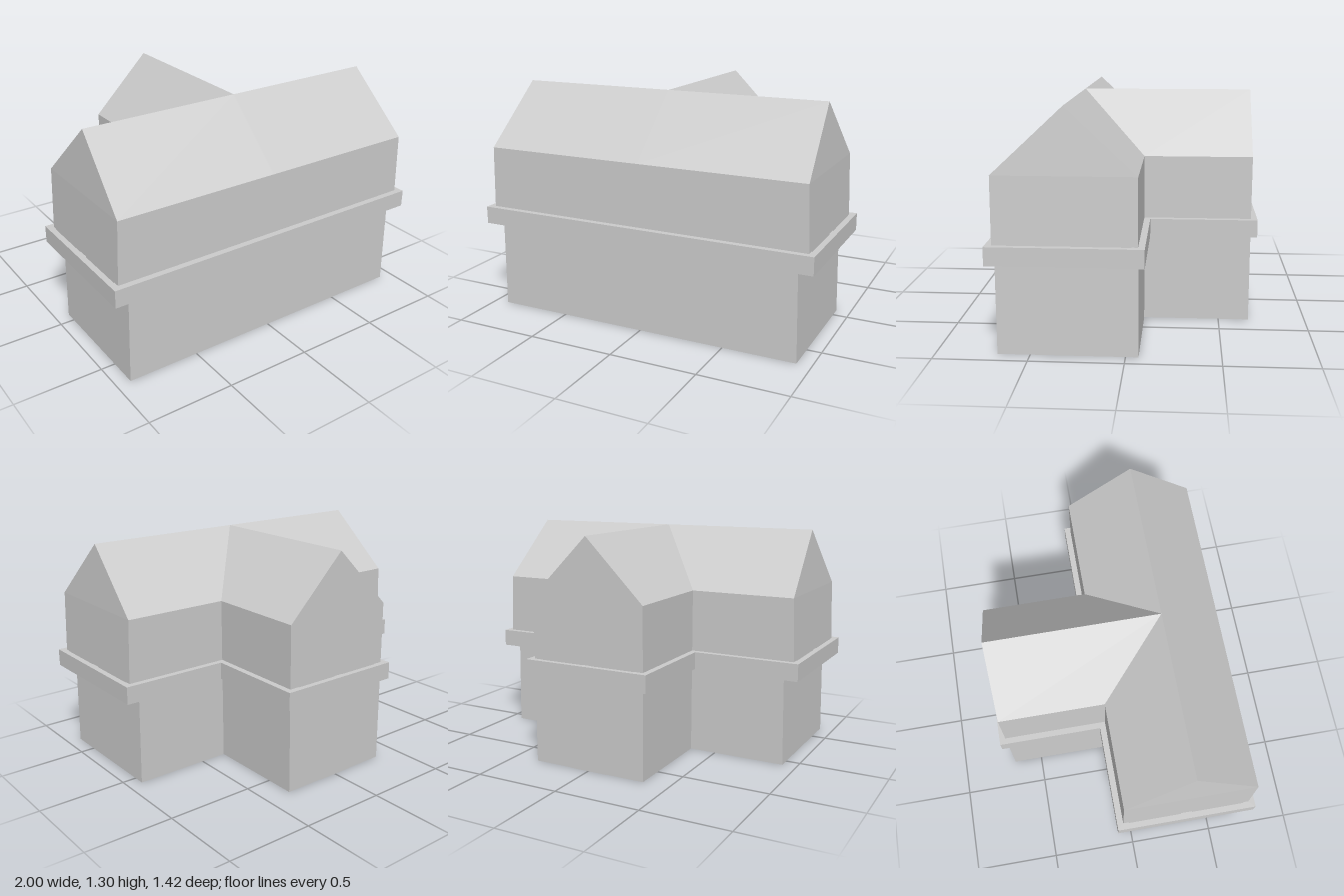
import * as THREE from 'three';

const FRONT = 0.673, BACK = -0.068, RIDGE_Z = 0.3025;
const WING_X = 0.345, WING_Z = -0.673;
const BAND_Y = 0.505, FLOOR_Y = 0.605, EAVE_Y = 0.96, RIDGE_Y = 1.305;
const FLOOR_X = 0.963, EAVE_X = 0.95, RIDGE_X = 0.925;

// Flat-shaded open surface from convex polygons, corners counter-clockwise from outside
function surface(name, polygons) {
  const pos = [];
  for (const p of polygons)
    for (let i = 1; i < p.length - 1; i++) pos.push(...p[0], ...p[i], ...p[i + 1]);
  const geo = new THREE.BufferGeometry();
  geo.setAttribute('position', new THREE.Float32BufferAttribute(pos, 3));
  geo.computeVertexNormals();
  const mat = new THREE.MeshStandardMaterial({ color: 0xcccccc, flatShading: true, side: THREE.DoubleSide });
  const mesh = new THREE.Mesh(geo, mat);
  mesh.name = name;
  return mesh;
}

// T-shaped floor outline at height y; endX is the half length, grow pushes the rest outward
function outline(y, endX, grow = 0) {
  const f = FRONT + grow, b = BACK - grow, w = WING_X + grow, z = WING_Z - grow;
  return [[-endX, f], [endX, f], [endX, b], [w, b], [w, z], [-w, z], [-w, b], [-endX, b]]
    .map(([px, pz]) => [px, y, pz]);
}

// Quads joining successive outlines
function loft(rings) {
  const quads = [];
  for (let r = 0; r < rings.length - 1; r++) {
    const a = rings[r], b = rings[r + 1];
    a.forEach((p, i) => {
      const j = (i + 1) % a.length;
      quads.push([p, a[j], b[j], b[i]]);
    });
  }
  return quads;
}

// Mirror polygons across x = 0, keeping them facing outward
const mirrored = (polys) => polys.concat(
  polys.map((p) => p.map(([x, y, z]) => [-x, y, z]).reverse()));

export function createModel() {
  const group = new THREE.Group();
  group.name = 'house';

  // Hollow walls and the projecting band between storeys
  const lowTop = outline(BAND_Y, 0.909), upBase = outline(FLOOR_Y, FLOOR_X);
  group.add(surface('lowerWalls', loft([outline(0, 0.918), lowTop])));
  group.add(surface('floorBand', loft([
    lowTop, outline(BAND_Y, 1, 0.035), outline(FLOOR_Y, 1, 0.035), upBase])));
  group.add(surface('upperWalls', loft([upBase, outline(EAVE_Y, EAVE_X)])));

  // Gables: two leaning ends and the back wing
  const ridgeEnd = [RIDGE_X, RIDGE_Y, RIDGE_Z], wingRidge = [0, RIDGE_Y, WING_Z];
  const ridgeMid = [0, RIDGE_Y, RIDGE_Z], valley = [WING_X, EAVE_Y, BACK];
  const eaveFront = [EAVE_X, EAVE_Y, FRONT], eaveBack = [EAVE_X, EAVE_Y, BACK];
  const wingEave = [WING_X, EAVE_Y, WING_Z];
  group.add(surface('gables', mirrored([
    [eaveFront, eaveBack, ridgeEnd],
    [wingEave, [0, EAVE_Y, WING_Z], wingRidge],
  ])));

  // Roof: front slope, back slope cut by the valley, wing slope
  group.add(surface('roof', mirrored([
    [[0, EAVE_Y, FRONT], eaveFront, ridgeEnd, ridgeMid],
    [eaveBack, valley, ridgeMid, ridgeEnd],
    [valley, wingEave, wingRidge, ridgeMid],
  ])));

  // Windows: thin panels following the leaning ends, and a pair on the wing
  const top = 0.87, gap = 0.004;
  const topX = THREE.MathUtils.mapLinear(top, FLOOR_Y, EAVE_Y, FLOOR_X, EAVE_X);
  const endWindow = (z0, z1) => [
    [FLOOR_X + gap, FLOOR_Y, z0], [FLOOR_X + gap, FLOOR_Y, z1],
    [topX + gap, top, z1], [topX + gap, top, z0]];
  const backPanel = (x0, x1, y0, y1) => [[x0, y0], [x1, y0], [x1, y1], [x0, y1]]
    .map(([x, y]) => [x, y, WING_Z - gap]);
  group.add(surface('windows', mirrored([
    endWindow(0.64, 0.335), endWindow(0.27, -0.035),
    backPanel(0.29, 0.028, FLOOR_Y, top),
  ])));

  // Door on the back of the wing
  group.add(surface('door', [backPanel(0.115, -0.115, 0, 0.365)]));
  return group;
}
